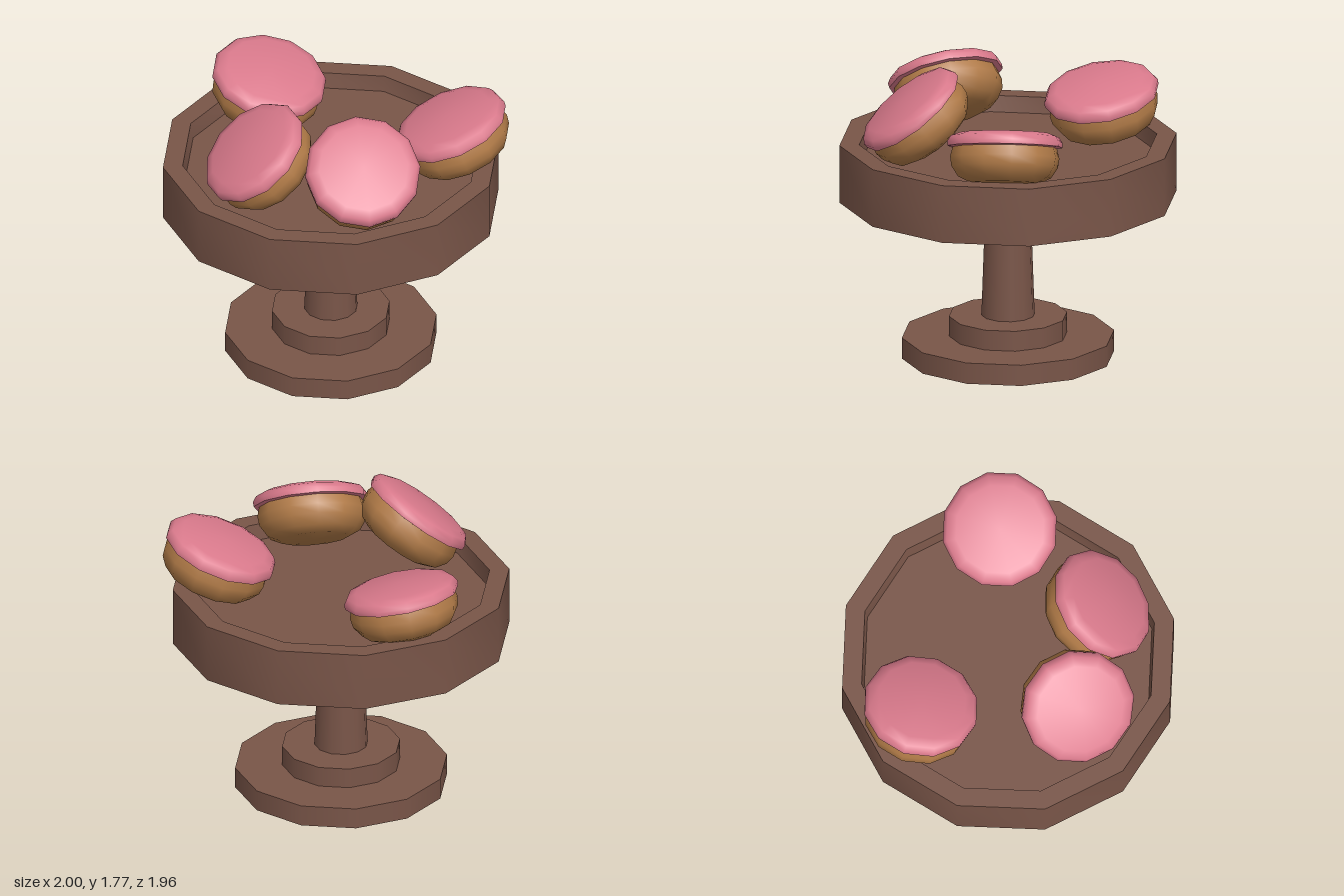
import * as THREE from 'three';
import { toCreasedNormals } from 'three/addons/utils/BufferGeometryUtils.js';

const SIDES = 12;

export function createModel() {
  const model = new THREE.Group();
  const brown = new THREE.MeshStandardMaterial({ name: 'brown', color: 0x795548 });
  const pink = new THREE.MeshStandardMaterial({ name: 'pink icing', color: 0xda7a8c });
  const tan = new THREE.MeshStandardMaterial({ name: 'tan biscuit', color: 0xb07a47 });

  const lathe = (profile, crease) => {
    const points = profile.map(([r, y]) => new THREE.Vector2(r, y));
    return toCreasedNormals(new THREE.LatheGeometry(points, SIDES), crease);
  };
  const add = (parent, name, geometry, material) => {
    const mesh = new THREE.Mesh(geometry, material);
    mesh.name = name;
    parent.add(mesh);
    return mesh;
  };

  // Stand: stepped foot, tapered stem and a recessed tray
  const stand = new THREE.Group();
  stand.name = 'cakeStand';
  stand.position.x = -0.018;
  model.add(stand);
  const solids = [
    ['foot', 0.617, 0.617, 0, 0.125],
    ['footStep', 0.343, 0.343, 0.125, 0.245],
    ['stem', 0.13, 0.155, 0.24, 0.96],
  ];
  for (const [name, top, bottom, y0, y1] of solids) {
    const mesh = add(stand, name, new THREE.CylinderGeometry(top, bottom, y1 - y0, SIDES), brown);
    mesh.position.y = (y0 + y1) / 2;
  }
  add(stand, 'tray', lathe([
    [0, 0.955], [0.98, 0.955], [0.98, 1.3], [0.865, 1.3], [0.85, 1.205], [0, 1.205],
  ], 0.7), brown);

  // Biscuit: rounded base with an overhanging icing lid
  const baseGeometry = lathe([
    [0, -0.213], [0.2, -0.208], [0.27, -0.175], [0.31, -0.115], [0.318, -0.06], [0.3, 0.01],
  ], 0.9);
  const lidGeometry = lathe([
    [0, 0], [0.3, -0.004], [0.334, 0.002], [0.336, 0.03], [0.315, 0.062], [0.26, 0.082], [0, 0.095],
  ], 0.9);

  // Each biscuit: centre of the lid's underside, then the direction it faces
  const biscuits = [
    ['backBiscuit', [-0.29, 1.455, -0.58], [0.17, 1, 0.19]],
    ['rightBiscuit', [-0.5, 1.53, 0.3], [-0.6, 0.785, 0.12]],
    ['frontBiscuit', [0.077, 1.515, 0.565], [0, 0.79, 0.614]],
    ['leftBiscuit', [0.675, 1.47, 0.105], [-0.35, 0.933, -0.06]],
  ];
  const up = new THREE.Vector3(0, 1, 0);
  for (const [name, position, facing] of biscuits) {
    const biscuit = new THREE.Group();
    biscuit.name = name;
    biscuit.position.set(...position);
    biscuit.quaternion.setFromUnitVectors(up, new THREE.Vector3(...facing).normalize());
    add(biscuit, 'biscuitBase', baseGeometry, tan);
    add(biscuit, 'icingLid', lidGeometry, pink);
    model.add(biscuit);
  }
  return model;
}
